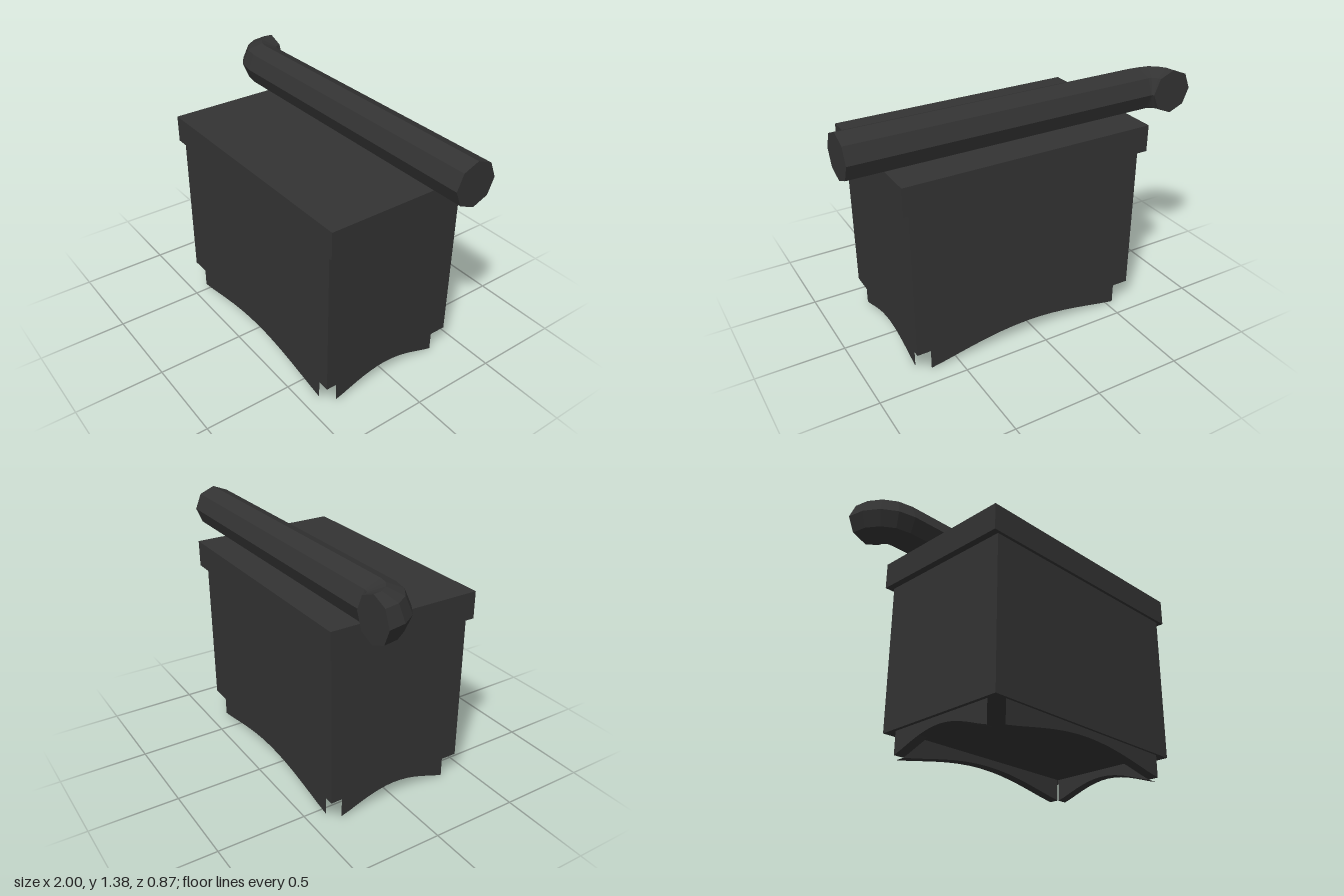
import * as THREE from 'three';

const iron = new THREE.MeshStandardMaterial({ color: 0x333333, flatShading: true });
iron.name = 'dark iron';

// Joins a row of equal cross-sections; closed sections also get end caps.
function loft(sections, closed) {
  const n = sections[0].length;
  const last = (sections.length - 1) * n;
  const index = [];
  for (let i = 0; i < sections.length - 1; i++) {
    for (let j = 0; j < (closed ? n : n - 1); j++) {
      const a = i * n + j, b = i * n + (j + 1) % n;
      index.push(a, b, b + n, a, b + n, a + n);
    }
  }
  if (closed) {
    for (let j = 1; j < n - 1; j++) {
      index.push(0, j + 1, j, last, last + j, last + j + 1);
    }
  }
  const geometry = new THREE.BufferGeometry().setFromPoints(sections.flat());
  geometry.setIndex(index);
  const flat = geometry.toNonIndexed();
  flat.computeVertexNormals();
  return flat;
}

// Octagonal pipe running along x, then bending a quarter turn to the back.
function pipeGeometry() {
  const r = 0.1225, bend = 0.133, cx = -0.745, cz = -0.355, cy = 1.2625;
  const ring = (x, angle) => {
    const points = [];
    for (let j = 0; j < 8; j++) {
      const t = j * Math.PI / 4;
      const d = bend + r * Math.cos(t);
      points.push(new THREE.Vector3(x - d * Math.sin(angle), cy + r * Math.sin(t), cz + d * Math.cos(angle)));
    }
    return points;
  };
  const rings = [ring(1, 0)];
  for (let i = 0; i <= 4; i++) rings.push(ring(cx, i * Math.PI / 8));
  return loft(rings, true);
}

// Arched skirt panel, open at its ends and where it meets the body.
function skirtGeometry(length) {
  const top = 0.13, rise = 0.085, half = 0.03, steps = 14;
  const sections = [];
  for (let i = 0; i <= steps; i++) {
    const t = 2 * i / steps - 1;
    const x = t * length / 2;
    const y = rise * Math.pow(Math.max(0, Math.cos(t * Math.PI / 2)), 1.15);
    sections.push([[top, half], [y, half], [y, -half], [top, -half]]
      .map(([py, pz]) => new THREE.Vector3(x, py, pz)));
  }
  return loft(sections, false);
}

export function createModel() {
  const model = new THREE.Group();
  model.name = 'stove';
  const add = (name, geometry, x = 0, y = 0, z = 0, turn = 0) => {
    const mesh = new THREE.Mesh(geometry, iron);
    mesh.name = name;
    mesh.position.set(x, y, z);
    mesh.rotation.y = turn;
    model.add(mesh);
  };

  // Body and overhanging top slab
  add('body', new THREE.BoxGeometry(1.367, 0.857, 0.827), 0.058, 0.5575, 0.006);
  add('topSlab', new THREE.BoxGeometry(1.445, 0.152, 0.873), 0.059, 1.062, 0);

  // Arched skirt on all four sides
  const long = skirtGeometry(1.2), short = skirtGeometry(0.675);
  add('frontSkirt', long, 0.056, 0, 0.375);
  add('backSkirt', long, 0.056, 0, -0.36, Math.PI);
  add('leftSkirt', short, 0.694, 0, 0.0075, Math.PI / 2);
  add('rightSkirt', short, -0.575, 0, 0.0075, -Math.PI / 2);

  // Flue pipe lying on top
  add('pipe', pipeGeometry());
  return model;
}
